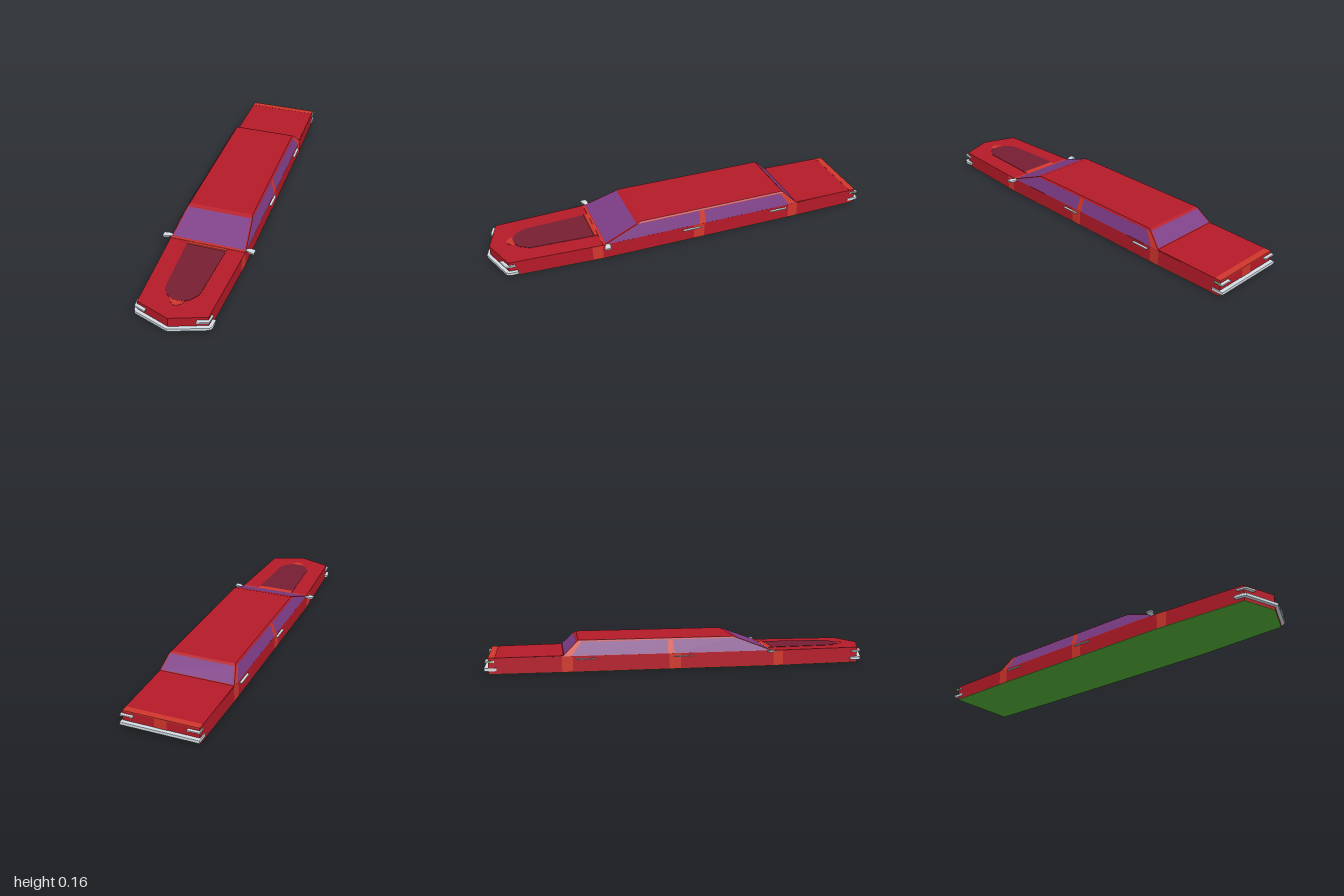
import * as THREE from 'three';
import { ConvexGeometry } from 'three/addons/geometries/ConvexGeometry.js';

const material = (name, color) =>
  new THREE.MeshStandardMaterial({ name, color, side: THREE.DoubleSide, flatShading: true });

export function createModel() {
  const car = new THREE.Group();
  car.name = 'car';
  const red = material('red paint', 0xb51a28);
  const accent = material('orange red trim', 0xd0362c);
  const glass = material('purple glass', 0x7d3c86);
  const maroon = material('maroon hood panel', 0x771e33);
  const chrome = material('chrome', 0xd3dde4);
  const green = material('green floor', 0x50ac38);

  const add = (name, geometry, mat) => {
    const mesh = new THREE.Mesh(geometry, mat);
    mesh.name = name;
    car.add(mesh);
    return mesh;
  };

  // Upright slab from a plan outline of [x, z] points
  const slab = (name, plan, y0, y1, mat) => {
    const shape = new THREE.Shape(plan.map(([x, z]) => new THREE.Vector2(x, -z)));
    const g = new THREE.ExtrudeGeometry(shape, { depth: y1 - y0, bevelEnabled: false });
    g.rotateX(-Math.PI / 2).translate(0, y0, 0);
    return add(name, g, mat);
  };
  // Full symmetric outline from its left half, listed front to rear
  const mirrored = (half) => [...half, ...half.map(([x, z]) => [-x, z]).reverse()];

  // Convex solid around corner points, and one symmetric about the centre
  const hull = (name, points, mat) =>
    add(name, new ConvexGeometry(points.map((p) => new THREE.Vector3(...p))), mat);
  const wideHull = (name, points, mat) =>
    hull(name, points.flatMap(([x, y, z]) => [[x, y, z], [-x, y, z]]), mat);

  // Flat four-cornered plate, lifted just off the surface beneath it
  const plate = (name, corners, mat) => {
    const p = corners.map((c) => new THREE.Vector3(...c));
    const n = p[1].clone().sub(p[0]).cross(p[2].clone().sub(p[0])).normalize();
    const outward = p[0].clone().add(p[2]).multiplyScalar(0.5).sub(new THREE.Vector3(0, 0.05, -0.1));
    if (n.dot(outward) < 0) {
      n.negate();
      p.reverse();
    }
    p.forEach((v) => v.addScaledVector(n, 0.0015));
    const g = new THREE.BufferGeometry().setFromPoints([p[0], p[1], p[2], p[0], p[2], p[3]]);
    g.computeVertexNormals();
    return add(name, g, mat);
  };

  // Lower body, floor and gently sloping trunk lid
  const outline = mirrored([[0, 0.983], [0.169, 0.922], [0.192, 0.45], [0.192, -0.6], [0.186, -0.98]]);
  outline.pop();
  slab('body', outline, 0.002, 0.08, red);
  slab('floor', outline, 0, 0.002, green);
  wideHull('trunkLid', [[0.19, 0.079, -0.61], [0.19, 0.084, -0.61], [0.187, 0.079, -0.95], [0.187, 0.081, -0.95]], red);

  // Cabin: stacked rectangles of [y, half width, front z, rear z]
  const cabin = [[0.079, 0.192, 0.452, -0.621], [0.148, 0.171, 0.27, -0.55], [0.155, 0.165, 0.25, -0.54]];
  wideHull('cabin', cabin.flatMap(([y, w, f, r]) => [[w, y, f], [w, y, r]]), red);

  // Points on the sloping cabin faces at height y
  const blend = (k, y) => THREE.MathUtils.lerp(cabin[0][k], cabin[1][k], (y - 0.079) / 0.069);
  const hi = 0.147;
  [['windscreen', 2, 0.083], ['rearWindow', 3, 0.087]].forEach(([name, k, lo]) => {
    const at = (s, y) => [s * (blend(1, y) - 0.007), y, blend(k, y)];
    plate(name, [at(-1, lo), at(1, lo), at(1, hi), at(-1, hi)], glass);
  });

  for (const s of [1, -1]) {
    const side = s > 0 ? 'left' : 'right';
    // Side windows and pillars: lower front, lower rear, upper rear, upper front z
    const sidePlate = (name, z, mat) => plate(side + name, z.map((v, i) => {
      const y = i < 2 ? 0.081 : hi;
      return [s * blend(1, y), y, v];
    }), mat);
    sidePlate('FrontWindow', [0.437, -0.06, -0.066, 0.264], glass);
    sidePlate('CentrePillar', [-0.06, -0.092, -0.092, -0.066], accent);
    sidePlate('RearWindow', [-0.092, -0.575, -0.525, -0.092], glass);
    sidePlate('RearPillar', [-0.575, -0.617, -0.55, -0.525], accent);

    // Trim bands on the body sides
    [[0.51, 0.458], [-0.028, -0.085], [-0.57, -0.623]].forEach(([z0, z1]) => {
      const x = (z) => s * (0.192 - Math.max(0, z - 0.45) * 0.049);
      plate(side + 'TrimBand', [[x(z0), 0.002, z0], [x(z1), 0.002, z1], [x(z1), 0.08, z1], [x(z0), 0.08, z0]], accent);
    });

    // Door handles
    for (const z of [-0.015, -0.508]) {
      const handle = add(side + 'DoorHandle', new THREE.BoxGeometry(0.014, 0.004, 0.095), chrome);
      handle.position.set(s * 0.197, 0.065, z);
    }

    // Door mirror, swelling outward from a thin root: [x, lower y, upper y, rear z, front z]
    const mirror = [[0.188, 0.079, 0.082, 0.425, 0.44], [0.212, 0.076, 0.086, 0.423, 0.453], [0.235, 0.0775, 0.085, 0.427, 0.458]];
    hull(side + 'Mirror', mirror.flatMap(([x, y0, y1, z0, z1]) =>
      [[s * x, y0, z0], [s * x, y0, z1], [s * x, y1, z0], [s * x, y1, z1]]), chrome);

    // Wraparound lamps
    const flip = (plan) => plan.map(([x, z]) => [s * x, z]);
    slab(side + 'Headlamp', flip([[0.12, 0.935], [0.12, 0.957], [0.176, 0.937], [0.181, 0.89], [0.168, 0.89], [0.166, 0.918]]), 0.056, 0.065, chrome);
    slab(side + 'TailLamp', flip([[0.13, -0.978], [0.13, -0.995], [0.191, -0.995], [0.191, -0.95], [0.184, -0.95], [0.184, -0.978]]), 0.059, 0.067, chrome);
    plate(side + 'TailLampLens', [[0.14, 0.061, -0.995], [0.185, 0.061, -0.995], [0.185, 0.065, -0.995], [0.14, 0.065, -0.995]]
      .map(([x, y, z]) => [s * x, y, z]), accent);
    plate(side + 'SideMarker', [[0.191, 0.06, -0.955], [0.191, 0.06, -0.98], [0.191, 0.066, -0.98], [0.191, 0.066, -0.955]]
      .map(([x, y, z]) => [s * x, y, z]), green);
  }

  // Bumpers wrapping around the corners
  const frontHalf = [[0, 1], [0.178, 0.938], [0.187, 0.92], [0.187, 0.88], [0.172, 0.88], [0.168, 0.921], [0, 0.982]];
  slab('frontBumper', mirrored(frontHalf).filter((p, i) => i !== 7 && i !== 13), 0.017, 0.031, chrome);
  const rearHalf = [[0.184, -0.975], [0.184, -0.94], [0.192, -0.94], [0.192, -1]];
  slab('rearBumper', mirrored(rearHalf), 0.017, 0.031, chrome);

  // Hood panel with a rear-facing vent and a nose tip
  slab('hoodPanel', mirrored([[0.022, 0.865], [0.055, 0.845], [0.084, 0.8], [0.1, 0.475]]), 0.079, 0.082, maroon);
  wideHull('hoodVent', [[0.1, 0.08, 0.478], [0.1, 0.085, 0.475], [0.1, 0.08, 0.454]], accent);
  slab('hoodTip', mirrored([[0.008, 0.897], [0.028, 0.88], [0.036, 0.858], [0.022, 0.85]]), 0.079, 0.0817, accent);
  slab('cowlTrim', mirrored([[0.19, 0.455], [0.19, 0.44]]), 0.079, 0.082, accent);

  // Trunk edge and rear centre trim
  slab('trunkTrim', mirrored([[0.186, -0.948], [0.186, -0.981]]), 0.076, 0.0817, accent);
  plate('rearCentreTrim', [[-0.03, 0.002, -0.98], [0.03, 0.002, -0.98], [0.03, 0.078, -0.98], [-0.03, 0.078, -0.98]], accent);

  return car;
}
